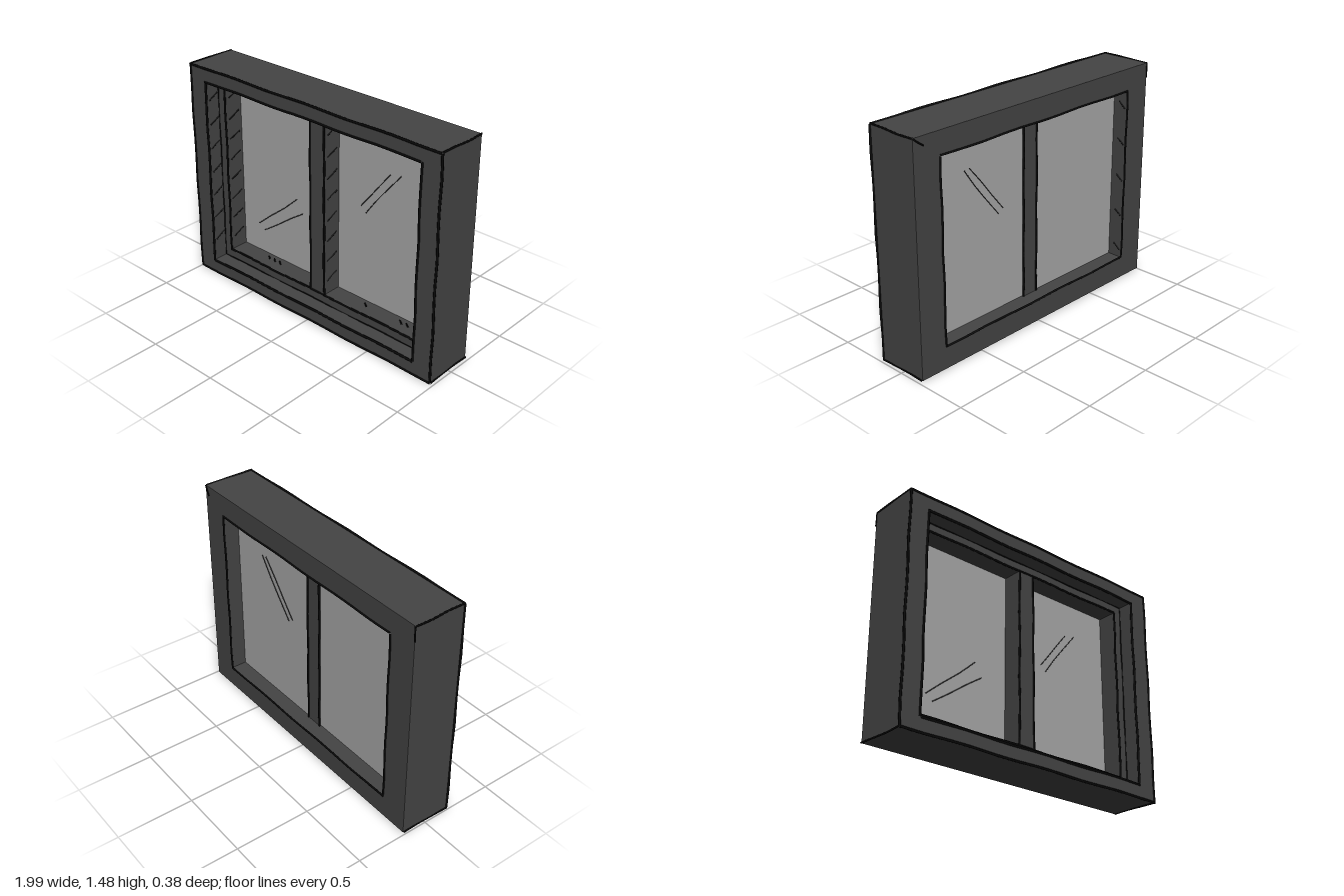
import * as THREE from 'three';

const FRONT = 0.18, STEP = 0.075, GLASS = -0.06, BACK = -0.165;
// rectangles as [left, right, bottom, top]
const OUTER = [-0.99, 0.98, 0.012, 1.475];
const REBATE = [-0.86, 0.85, 0.10, 1.385];
const SASH = [-0.803, 0.793, 0.16, 1.33];
const BAR = [-0.063, 0.05];

const frameMat = new THREE.MeshStandardMaterial({ color: 0x444444 });
const glassMat = new THREE.MeshStandardMaterial({ color: 0xa6a6a6, side: THREE.DoubleSide });
const inkMat = new THREE.MeshStandardMaterial({ color: 0x080808 });
const scratchMat = new THREE.MeshStandardMaterial({ color: 0x3c3c3c });

function add(group, name, geometry, material) {
  const mesh = new THREE.Mesh(geometry, material);
  mesh.name = name;
  group.add(mesh);
  return mesh;
}

// rectangular ring between two rectangles, from z0 to z1
function ring(outer, inner, z0, z1) {
  const corners = ([l, r, b, t]) => [[l, b], [r, b], [r, t], [l, t]].map(p => new THREE.Vector2(...p));
  const shape = new THREE.Shape(corners(outer));
  shape.holes.push(new THREE.Path(corners(inner).reverse()));
  return new THREE.ExtrudeGeometry(shape, { depth: z1 - z0, bevelEnabled: false }).translate(0, 0, z0);
}

// slightly wavering, tapered-looking pen stroke between two points
let strokeCount = 0;
function stroke(group, name, a, b, radius = 0.008, material = inkMat) {
  const from = new THREE.Vector3(...a), to = new THREE.Vector3(...b);
  const length = from.distanceTo(to), n = Math.max(2, Math.ceil(length * 6));
  const seed = ++strokeCount * 1.7, waver = Math.min(0.003, length * 0.02);
  const points = [];
  for (let i = 0; i <= n; i++) {
    const p = from.clone().lerp(to, i / n);
    p.x += waver * Math.sin(seed + i * 2.1);
    p.y += waver * Math.sin(seed * 2 + i * 1.7);
    points.push(p);
  }
  const curve = new THREE.CatmullRomCurve3(points);
  add(group, name, new THREE.TubeGeometry(curve, n * 2, radius, 5, false), material);
}

function strokeRect(group, name, [l, r, b, t], z, radius) {
  stroke(group, name, [l, b, z], [r, b, z], radius);
  stroke(group, name, [r, b, z], [r, t, z], radius);
  stroke(group, name, [r, t, z], [l, t, z], radius);
  stroke(group, name, [l, t, z], [l, b, z], radius);
}

export function createModel() {
  const model = new THREE.Group();
  model.name = 'window';

  // stepped frame and centre bar
  const frame = new THREE.Group();
  frame.name = 'frame';
  model.add(frame);
  add(frame, 'frontFrame', ring(OUTER, REBATE, STEP, FRONT), frameMat);
  add(frame, 'sashFrame', ring(OUTER, SASH, BACK, STEP), frameMat);
  const barHeight = SASH[3] - SASH[2], barDepth = STEP - GLASS + 0.01;
  add(frame, 'centreBar', new THREE.BoxGeometry(BAR[1] - BAR[0], barHeight, barDepth), frameMat)
    .position.set((BAR[0] + BAR[1]) / 2, (SASH[2] + SASH[3]) / 2, STEP - barDepth / 2);

  // glass panes
  for (const [name, l, r] of [['rightPane', SASH[0], BAR[0]], ['leftPane', BAR[1], SASH[1]]]) {
    add(model, name, new THREE.PlaneGeometry(r - l, barHeight), glassMat)
      .position.set((l + r) / 2, (SASH[2] + SASH[3]) / 2, GLASS);
  }

  // ink outlines along the edges
  const outlines = new THREE.Group();
  outlines.name = 'inkOutlines';
  model.add(outlines);
  strokeRect(outlines, 'frontOutline', OUTER, FRONT, 0.008);
  strokeRect(outlines, 'frontOpeningOutline', REBATE, FRONT, 0.008);
  strokeRect(outlines, 'rebateOutline', REBATE, STEP, 0.005);
  strokeRect(outlines, 'sashOutline', SASH, STEP, 0.007);
  strokeRect(outlines, 'backOpeningOutline', SASH, BACK, 0.007);
  for (const x of BAR) {
    for (const z of [STEP, GLASS - 0.01]) {
      stroke(outlines, 'barOutline', [x, SASH[2], z], [x, SASH[3], z], 0.007);
    }
  }
  for (const x of [OUTER[0], OUTER[1]]) {
    for (const y of [OUTER[2], OUTER[3]]) {
      stroke(outlines, 'sideEdgeOutline', [x, y, FRONT], [x, y, BACK], 0.006);
    }
  }
  stroke(outlines, 'cornerFlick', [0.98, 1.475, BACK], [0.92, 1.425, BACK - 0.018], 0.005);
  stroke(outlines, 'cornerFlick', [OUTER[0], 1.475, BACK], [OUTER[0], 1.38, BACK], 0.005);

  // slanted hatching on the inner side walls
  const hatching = new THREE.Group();
  hatching.name = 'hatching';
  model.add(hatching);
  const walls = [
    [REBATE[0], 0.085, 0.155, 7], [SASH[0], -0.04, 0.045, 8],
    [BAR[1], -0.04, 0.045, 8], [SASH[0], -0.15, -0.10, 5],
  ];
  for (const [x, z0, z1, count] of walls) {
    for (let i = 0; i < count; i++) {
      const y = 0.25 + i * (1.0 / (count - 1));
      const rise = z1 < 0 ? -0.04 : 0.04;
      stroke(hatching, 'hatchMark', [x, y, z1], [x, y + rise, z0], 0.005);
    }
  }
  // short ticks on the sill
  for (const x of [-0.55, -0.5, -0.45, 0.3, 0.58, 0.63]) {
    stroke(hatching, 'sillTick', [x, SASH[2], -0.03], [x + 0.04, SASH[2], 0.0], 0.005);
  }

  // glint strokes on the glass
  const glints = new THREE.Group();
  glints.name = 'glassGlints';
  model.add(glints);
  const lines = [
    [-0.66, 0.36, -0.30, 0.67, 1], [-0.61, 0.33, -0.25, 0.58, 1],
    [0.23, 0.81, 0.45, 1.09, 1], [0.27, 0.78, 0.53, 1.11, 1],
    [0.26, 0.79, 0.53, 1.14, -1], [0.22, 0.82, 0.49, 1.15, -1],
  ];
  for (const [x0, y0, x1, y1, side] of lines) {
    const z = GLASS + side * 0.003;
    stroke(glints, 'glint', [x0, y0, z], [x1, y1, z], 0.003, scratchMat);
  }
  return model;
}
